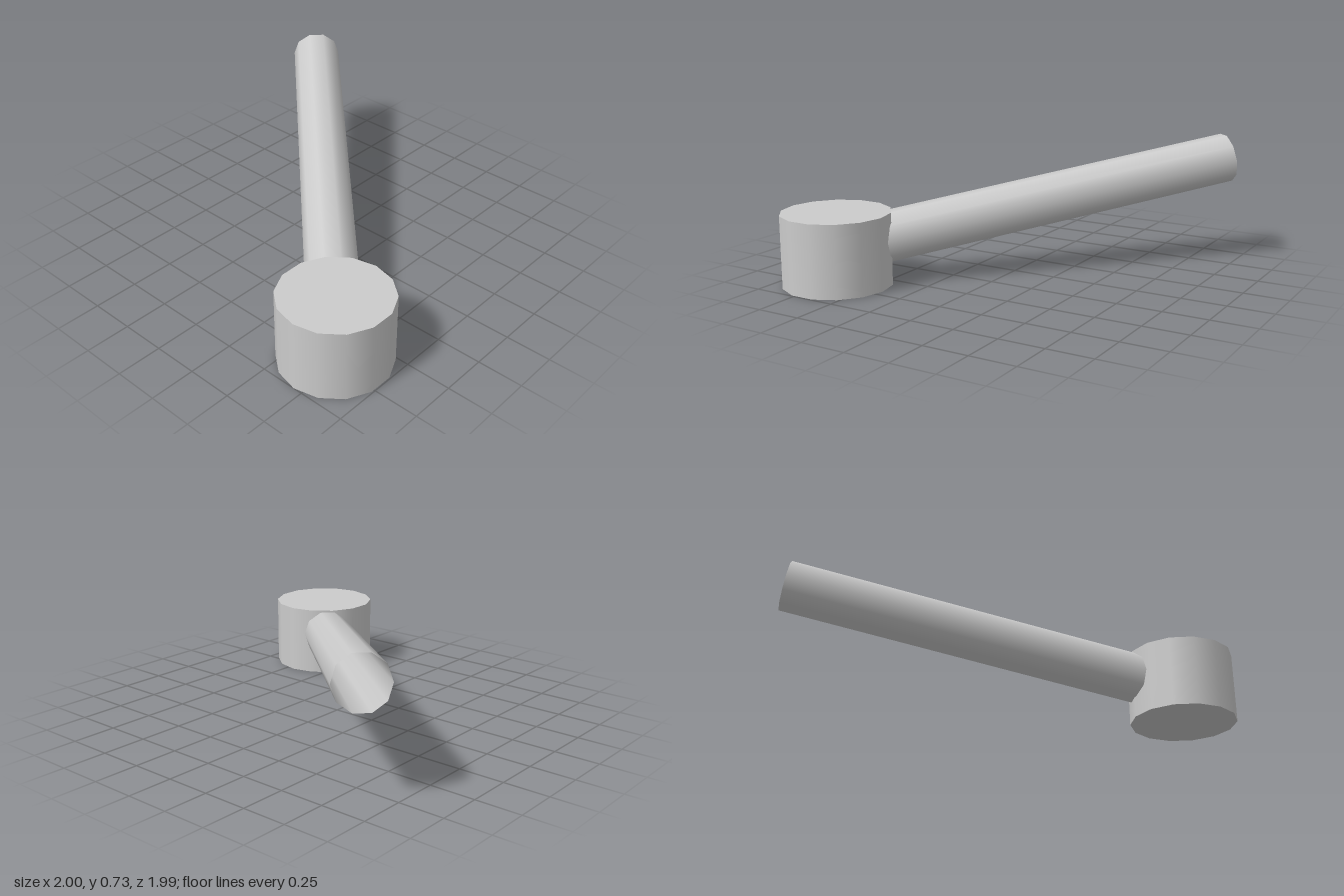
import * as THREE from 'three';

export function createModel() {
  const model = new THREE.Group();
  const grey = new THREE.MeshStandardMaterial({ color: 0xcccccc, side: THREE.DoubleSide });
  grey.name = 'light grey';

  // Solid drum with a corner pointing along x
  const drumGeometry = new THREE.CylinderGeometry(0.3, 0.3, 0.4, 14);
  drumGeometry.rotateY(Math.PI / 2);
  const drum = new THREE.Mesh(drumGeometry, grey);
  drum.name = 'drum';
  drum.position.set(-0.7, 0.2, 0.7);
  model.add(drum);

  // Open tube rising from the middle of the drum to the back left
  const start = new THREE.Vector3(-0.7, 0.2, 0.7);
  const end = new THREE.Vector3(0.9, 0.595, -0.9);
  const length = start.distanceTo(end);
  const rise = Math.asin((end.y - start.y) / length);
  const tubeGeometry = new THREE.CylinderGeometry(0.141, 0.141, length, 10, 1, true);
  tubeGeometry.rotateZ(rise - Math.PI / 2);
  tubeGeometry.rotateY(Math.PI / 4);
  const tube = new THREE.Mesh(tubeGeometry, grey);
  tube.name = 'tube';
  tube.position.copy(start).lerp(end, 0.5);
  model.add(tube);

  return model;
}
